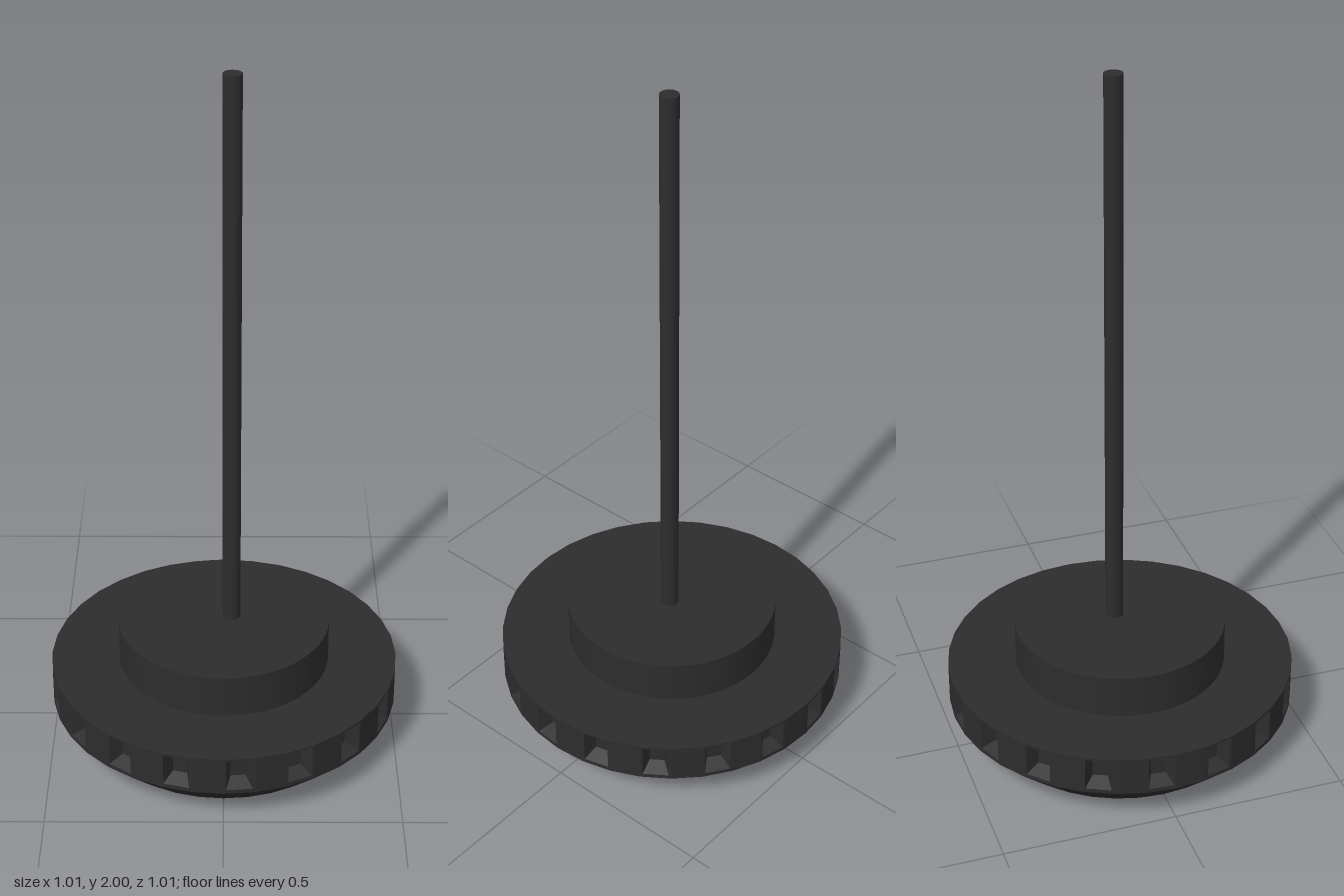
import * as THREE from 'three';

const SIDES = 36, RADIUS = 0.506, BAND_LOW = 0.105, BAND_TOP = 0.222;

// Rectangle corners in facet space: half width, low, high, depth behind the facet
const rect = (w, low, high, d) => [[-w, low, -d], [w, low, -d], [w, high, -d], [-w, high, -d]];

// Flat facets of the rim, every second one with a tapered pocket
function rimGeometry() {
  const step = (2 * Math.PI) / SIDES;
  const half = RADIUS * Math.sin(step / 2), apothem = RADIUS * Math.cos(step / 2);
  const outer = rect(half, BAND_LOW, BAND_TOP, 0);
  const mouth = rect(0.037, 0.117, 0.215, 0);
  const floor = rect(0.021, 0.136, 0.2, 0.04);
  const positions = [];
  for (let i = 0; i < SIDES; i++) {
    const a = (i + 0.5) * step, s = Math.sin(a), c = Math.cos(a);
    const put = ([u, y, d]) => positions.push(u * c + (apothem + d) * s, y, -u * s + (apothem + d) * c);
    const quad = (p, q, r, t) => [p, q, r, p, r, t].forEach(put);
    const loop = (from, to) => {
      for (let k = 0; k < 4; k++) {
        const n = (k + 1) % 4;
        quad(from[k], from[n], to[n], to[k]);
      }
    };
    if (i % 2 === 0) {
      loop(outer, mouth);
      loop(mouth, floor);
      quad(...floor);
    } else {
      quad(...outer);
    }
  }
  const geometry = new THREE.BufferGeometry();
  geometry.setAttribute('position', new THREE.Float32BufferAttribute(positions, 3));
  geometry.computeVertexNormals();
  return geometry;
}

export function createModel() {
  const group = new THREE.Group();
  const dark = new THREE.MeshStandardMaterial({ color: 0x2d2d2d });
  const add = (name, geometry, x = 0, y = 0, z = 0) => {
    const mesh = new THREE.Mesh(geometry, dark);
    mesh.name = name;
    mesh.position.set(x, y, z);
    group.add(mesh);
    return mesh;
  };

  // Tapered underside, softly shaded across its lower edge
  const profile = [[0, 0], [0.397, 0], [RADIUS, BAND_LOW]].map(([r, y]) => new THREE.Vector2(r, y));
  add('underside', new THREE.LatheGeometry(profile, SIDES));

  // Pocketed rim and the flat deck that closes it
  add('rim', rimGeometry());
  const deck = new THREE.CircleGeometry(RADIUS, SIDES);
  deck.rotateX(-Math.PI / 2);
  add('deck', deck, 0, BAND_TOP, 0);

  // Raised hub
  const hubHeight = 0.35 - BAND_TOP;
  add('hub', new THREE.CylinderGeometry(0.307, 0.307, hubHeight, 64), 0, BAND_TOP + hubHeight / 2, 0);

  // Tall rod, set slightly off centre
  add('rod', new THREE.CylinderGeometry(0.026, 0.026, 1.67, 20), 0.022, 1.165, -0.01);

  return group;
}
